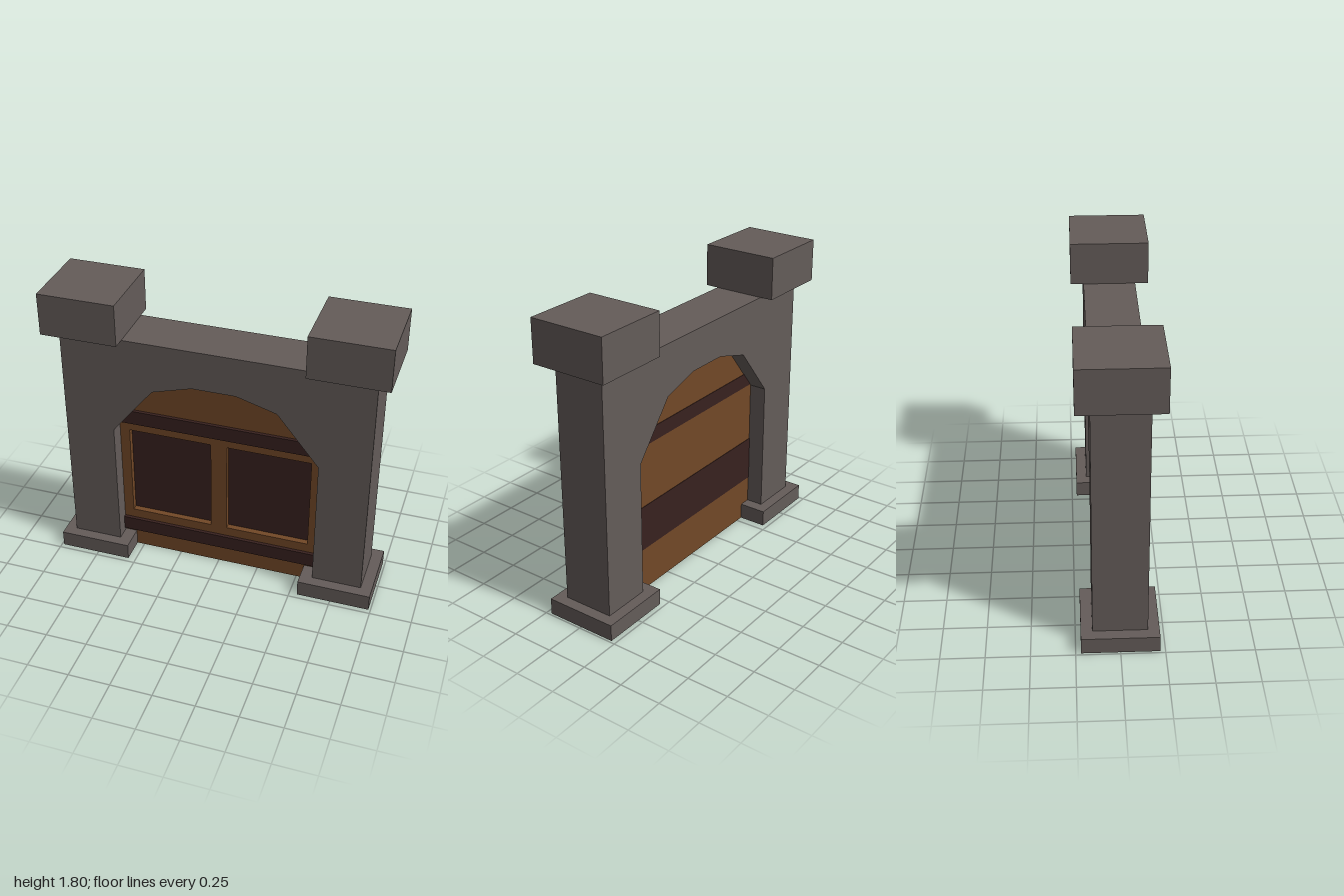
import * as THREE from 'three';

const stone = new THREE.MeshStandardMaterial({ color: 0x645c59, flatShading: true });
const wood = new THREE.MeshStandardMaterial({ color: 0x724827, flatShading: true });
const darkWood = new THREE.MeshStandardMaterial({ color: 0x38211f, flatShading: true });

// Right half of the arched opening, from the ground to the crown
const ARCH = [[0.62, 0], [0.62, 0.92], [0.37, 1.23], [0.13, 1.3]];
const archLoop = [...ARCH, ...ARCH.map(([x, y]) => [-x, y]).reverse()];

const toVectors = (points) => points.map(([x, y]) => new THREE.Vector2(x, y));
const rect = (x0, x1, y0, y1) => toVectors([[x0, y0], [x1, y0], [x1, y1], [x0, y1]]);

// Half width of the opening at height y
function halfWidth(y) {
  for (let i = 1; i < ARCH.length; i++) {
    const [x0, y0] = ARCH[i - 1], [x1, y1] = ARCH[i];
    if (y <= y1) return x0 + ((x1 - x0) * (y - y0)) / (y1 - y0);
  }
  return 0;
}

export function createModel() {
  const group = new THREE.Group();

  const add = (name, geometry, material) => {
    const mesh = new THREE.Mesh(geometry, material);
    mesh.name = name;
    group.add(mesh);
    return mesh;
  };

  // Flat outline, optionally with holes, extruded from z0 to z1
  const slab = (name, points, z0, z1, material, holes = []) => {
    const shape = new THREE.Shape(points);
    holes.forEach((h) => shape.holes.push(new THREE.Path(h)));
    const geometry = new THREE.ExtrudeGeometry(shape, { depth: z1 - z0, bevelEnabled: false });
    return add(name, geometry.translate(0, 0, z0), material);
  };

  // Horizontal board trimmed to the arch
  const board = (name, y0, y1, z0, z1) => {
    const a = halfWidth(y0), b = halfWidth(y1);
    slab(name, toVectors([[-a, y0], [a, y0], [b, y1], [-b, y1]]), z0, z1, darkWood);
  };

  // Stone wall around the opening
  const wall = [[-0.92, 0], [-0.62, 0], ...archLoop.slice(1, -1).reverse(),
    [0.62, 0], [0.92, 0], [0.92, 1.54], [-0.92, 1.54]];
  slab('archWall', toVectors(wall), -0.155, 0.155, stone);

  // Pillar feet and caps
  for (const [side, s] of [['left', 1], ['right', -1]]) {
    add(side + 'Foot', new THREE.BoxGeometry(0.44, 0.1, 0.44), stone).position.set(s * 0.767, 0.05, 0);
    add(side + 'Cap', new THREE.BoxGeometry(0.46, 0.255, 0.465), stone).position.set(s * 0.77, 1.668, 0);
  }

  // Door: solid back, and a front frame with two openings
  const panels = [rect(0.05, 0.56, 0.27, 0.87), rect(-0.56, -0.05, 0.27, 0.87)];
  slab('doorBack', toVectors(archLoop), -0.05, 0.02, wood);
  slab('doorFrame', toVectors(archLoop), 0.02, 0.06, wood, panels);
  panels.forEach((p, i) => slab(['left', 'right'][i] + 'Panel', p, 0.015, 0.024, darkWood));

  // Front and back boards
  board('frontLowerBoard', 0.12, 0.21, 0.05, 0.08);
  board('frontUpperBoard', 0.93, 1.02, 0.05, 0.08);
  board('backUpperBoard', 0.93, 1.02, -0.053, -0.04);
  board('backMiddleBoard', 0.27, 0.55, -0.053, -0.04);

  return group;
}
